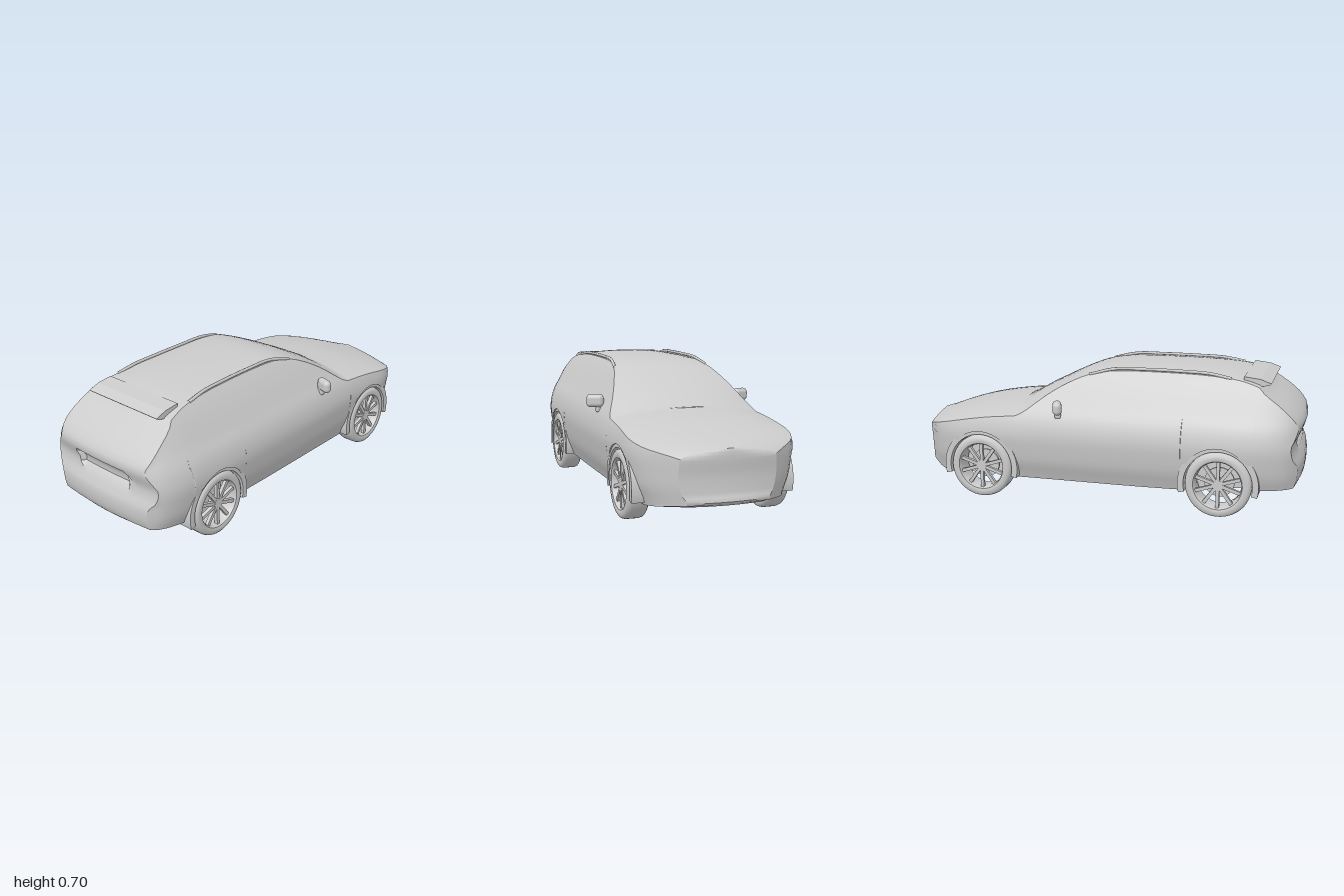
import * as THREE from 'three';
import { toCreasedNormals } from 'three/addons/utils/BufferGeometryUtils.js';
import { RoundedBoxGeometry } from 'three/addons/geometries/RoundedBoxGeometry.js';

const grey = new THREE.MeshStandardMaterial({ color: 0xcccccc });
const thin = new THREE.MeshStandardMaterial({ color: 0xcccccc, side: THREE.DoubleSide });

// Smooth interpolation through [position, value] pairs
function curve(p) {
  const slope = (i) => {
    const a = p[Math.max(i - 1, 0)], b = p[Math.min(i + 1, p.length - 1)];
    return (b[1] - a[1]) / (b[0] - a[0]);
  };
  return (x) => {
    if (x <= p[0][0]) return p[0][1];
    for (let i = 0; i < p.length - 1; i++) {
      const [x0, y0] = p[i], [x1, y1] = p[i + 1];
      if (x > x1) continue;
      const h = x1 - x0, t = (x - x0) / h, t2 = t * t, t3 = t2 * t;
      return y0 * (2 * t3 - 3 * t2 + 1) + y1 * (3 * t2 - 2 * t3)
        + h * (slope(i) * (t3 - 2 * t2 + t) + slope(i + 1) * (t3 - t2));
    }
    return p[p.length - 1][1];
  };
}

// Body curves: top height along z, half-width by height, plan taper, nose and tail profiles
const topY = curve([[-1, .375], [-.95, .395], [-.88, .418], [-.75, .446], [-.6, .468], [-.48, .48], [-.42, .49],
  [-.3, .562], [-.2, .622], [-.1, .667], [0, .69], [.12, .698], [.3, .7], [.5, .697], [.75, .683], [1, .655]]);
const halfW = curve([[.09, .345], [.14, .363], [.2, .387], [.27, .4], [.34, .407], [.4, .398], [.45, .38], [.5, .35], [.6, .293], [.65, .26], [.7, .222]]);
const taper = curve([[-1, .52], [-.96, .65], [-.9, .84], [-.85, .93], [-.78, .985], [-.7, 1], [.72, 1], [.82, .98], [.9, .925], [.95, .85], [.985, .73], [1, .65]]);
const tail = curve([[.13, .95], [.17, .975], [.26, .98], [.3, .96], [.36, .95], [.4, .965], [.45, .978], [.5, .945], [.55, .89], [.63, .785], [.7, .77]]);
const nose = curve([[.1, -.94], [.13, -.99], [.17, -.982], [.25, -.978], [.35, -.985], [.39, -.97], [.44, -.9]]);
const sill = curve([[-1, .125], [-.85, .105], [-.4, .11], [.4, .115], [.79, .14], [1, .15]]);

const AXLES = [-.63, .61], WHEEL_R = .165, ARCH_R = .187;
const bottomY = (t) => {
  let y = sill(t);
  for (const c of AXLES) {
    const d = Math.abs(t - c);
    if (d < ARCH_R) y = Math.max(y, WHEEL_R + Math.sqrt(ARCH_R ** 2 - d * d));
  }
  return y;
};
const mapZ = (t, y) => t > .4 ? t + (tail(y) - 1) * ((t - .4) / .6) ** 2
  : t < -.5 ? t + (nose(y) + 1) * ((t + .5) / .5) ** 2 : t;
const edgeY = (t) => topY(t) - .02 - .02 * THREE.MathUtils.smoothstep(-t, .25, .45);
const sidePoint = (t, y) => { const z = mapZ(t, y); return [halfW(y) * taper(z), y, z]; };

// Half cross-section from floor centre, around the side, to roof centre
const ROWS = 20, CROWN = 10;
function halfSection(t) {
  const s = bottomY(t), floor = sill(t) - .01, e = edgeY(t), zf = mapZ(t, floor), w = .285 * taper(zf);
  const pts = [[0, floor, zf], [w, floor, zf], [w, s, mapZ(t, s)]];
  for (let i = 0; i <= ROWS; i++) pts.push(sidePoint(t, s + (e - s) * i / ROWS));
  const [xe] = pts[pts.length - 1];
  const bow = .045 * Math.exp(-(((t + .38) / .15) ** 2));
  for (let i = 1; i <= CROWN; i++) {
    const u = Math.cos(i / CROWN * Math.PI / 2);
    const y = e + (topY(t) - e) * (1 - u ** 2.5);
    pts.push([xe * u, y, mapZ(t, y) - bow * (1 - u * u)]);
  }
  return pts;
}

function gridGeometry(points) {
  const nc = points[0].length, index = [];
  for (let r = 0; r < points.length - 1; r++) for (let c = 0; c < nc - 1; c++) {
    const a = r * nc + c;
    index.push(a, a + 1, a + nc, a + 1, a + nc + 1, a + nc);
  }
  const g = new THREE.BufferGeometry();
  g.setAttribute('position', new THREE.Float32BufferAttribute(points.flat(2), 3));
  g.setIndex(index);
  return toCreasedNormals(g, .6);
}

function add(parent, name, geometry, material = grey) {
  const m = new THREE.Mesh(geometry, material);
  m.name = name;
  parent.add(m);
  return m;
}

function buildBody(parent) {
  const stations = [];
  for (let i = 0; i <= 64; i++) stations.push(-1 + i / 32);
  for (const c of AXLES) {
    for (let i = 0; i <= 24; i++) stations.push(c - ARCH_R * Math.cos(i / 24 * Math.PI));
    stations.push(c - ARCH_R - .002, c + ARCH_R + .002);
  }
  stations.sort((a, b) => a - b);
  add(parent, 'bodyShell', gridGeometry(stations.map((t) => {
    const h = halfSection(t);
    return [...h, ...h.slice(0, -1).reverse().map(([x, y, z]) => [-x, y, z])];
  })));
  // Nose and tail faces close the shell; the tail has a number plate recess
  for (const end of [-1, 1]) {
    const rows = halfSection(end).slice(1).map(([x, y, z]) => {
      const row = [];
      for (let i = 0; i <= 32; i++) {
        const u = (i / 16 - 1) * end, px = x * u;
        const plate = end > 0 && Math.abs(px) < .17 && y > .325 && y < .41 ? .022 : 0;
        row.push([px, y, z + end * (.02 * (1 - u * u) - plate)]);
      }
      return row;
    });
    add(parent, end > 0 ? 'tailFace' : 'noseFace', gridGeometry(rows));
  }
}

// Panel laid just over the body side between two lines of height
function sidePanel(parent, name, t0, t1, low, high) {
  const pts = [];
  for (let i = 0; i <= 12; i++) {
    const t = t0 + (t1 - t0) * i / 12, row = [];
    for (let j = 0; j <= 4; j++) {
      const [x, y, z] = sidePoint(t, low(t) + Math.max(high(t) - low(t), .002) * j / 4);
      row.push([x + .002, y, z]);
    }
    pts.push(row);
  }
  add(parent, name, gridGeometry(pts), thin);
}

function buildSide(s) {
  const side = new THREE.Group();
  side.name = s > 0 ? 'leftSide' : 'rightSide';
  side.scale.x = s;
  const low = (t) => .495 + .1 * Math.max(0, (t - .45) / .25) ** 2;
  const high = (t) => Math.min(edgeY(t) - .02, .645);
  for (const [a, b] of [[-.29, .16], [.19, .48], [.5, .68]]) sidePanel(side, 'sideWindow', a, b, low, high);
  sidePanel(side, 'headlight', -.97, -.83, () => .315, (t) => .345 + (t + .97) * .12);

  // Roof rail
  const rail = [-.08, .05, .2, .4, .55, .7].map((t, i) => {
    const y = edgeY(t);
    return new THREE.Vector3(halfW(y) - .004, y + (i % 5 ? .01 : 0), mapZ(t, y));
  });
  add(side, 'roofRail', new THREE.TubeGeometry(new THREE.CatmullRomCurve3(rail), 32, .008, 8));

  // Door mirror
  const mirror = add(side, 'mirror', new RoundedBoxGeometry(.088, .066, .045, 5, .022));
  mirror.position.set(.396, .502, -.208);
  mirror.rotation.y = -.35;
  const stalk = add(side, 'mirrorStalk', new RoundedBoxGeometry(.05, .045, .03, 2, .008));
  stalk.position.set(.368, .467, -.21);

  for (const z of AXLES) {
    side.add(buildWheel(z));
    // Arch trim fills the gap between tyre and body
    const shape = new THREE.Shape();
    shape.absarc(0, 0, .2, -.25, Math.PI + .25, false);
    shape.absarc(0, 0, .17, Math.PI + .25, -.25, true);
    const g = new THREE.ExtrudeGeometry(shape, { depth: .11, bevelEnabled: false, curveSegments: 32 });
    const arch = add(side, 'archTrim', toCreasedNormals(g, .6));
    arch.rotation.y = Math.PI / 2;
    arch.position.set(.29, WHEEL_R, z);
  }
  return side;
}

function buildWheel(z) {
  const wheel = new THREE.Group();
  wheel.name = 'wheel';
  wheel.position.set(.35, WHEEL_R, z);
  const axle = new THREE.Group();
  axle.name = 'wheelParts';
  axle.rotation.z = -Math.PI / 2;
  wheel.add(axle);
  const profile = [[.116, -.05], [.13, -.054], [.15, -.052], [.16, -.045], [.165, -.03], [.165, .03], [.16, .045],
    [.15, .052], [.13, .054], [.122, .051], [.116, .04], [.112, 0], [.116, -.05]];
  add(axle, 'tyreAndRim', toCreasedNormals(new THREE.LatheGeometry(profile.map((p) => new THREE.Vector2(...p)), 48), .7), thin);
  add(axle, 'hub', new THREE.CylinderGeometry(.026, .03, .04, 20)).position.y = .022;
  add(axle, 'brakeDisc', new THREE.CylinderGeometry(.075, .075, .012, 28)).position.y = -.02;
  for (let i = 0; i < 10; i++) {
    const a = i / 10 * Math.PI * 2;
    const spoke = add(axle, 'spoke', new THREE.BoxGeometry(.096, .018, .017));
    spoke.position.set(Math.cos(a) * .068, .032, Math.sin(a) * .068);
    spoke.rotation.y = -a;
  }
  return wheel;
}

export function createModel() {
  const car = new THREE.Group();
  car.name = 'car';
  buildBody(car);
  for (const s of [1, -1]) car.add(buildSide(s));

  // Tailgate spoiler, a thin wedge across the roof's rear edge
  const wedge = new THREE.Shape([[.7, .686], [.78, .677], [.835, .657], [.825, .648], [.76, .636], [.7, .66]]
    .map(([z, y]) => new THREE.Vector2(-z, y)));
  const spoiler = add(car, 'spoiler', new THREE.ExtrudeGeometry(wedge, { depth: .46, bevelEnabled: false }));
  spoiler.geometry.rotateY(Math.PI / 2);
  spoiler.geometry.translate(-.23, 0, 0);
  const p = spoiler.geometry.attributes.position;
  for (let i = 0; i < p.count; i++) {
    const edge = Math.abs(p.getX(i)) > .2;
    if (edge) p.setY(i, p.getY(i) - .008);
  }
  spoiler.geometry.computeVertexNormals();

  // Cowl along the base of the windscreen
  const cowl = new THREE.CatmullRomCurve3([-.33, -.2, 0, .2, .33].map((x) =>
    new THREE.Vector3(x, .482 - x * x * .3, -.472 + x * x * .5)));
  add(car, 'cowl', new THREE.TubeGeometry(cowl, 32, .007, 8));
  return car;
}
